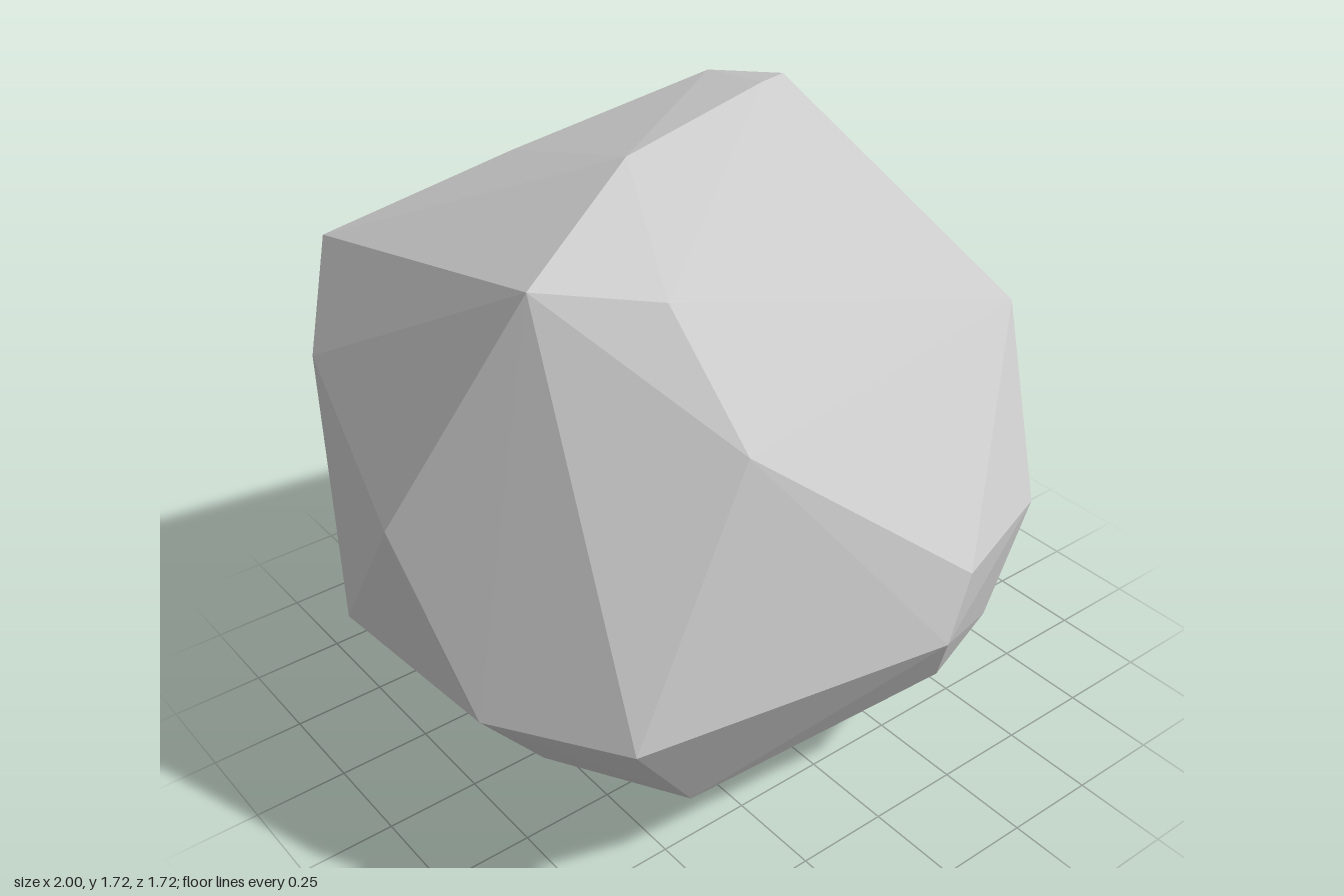
import * as THREE from 'three';
import { ConvexGeometry } from 'three/addons/geometries/ConvexGeometry.js';

// Corners of the faceted boulder, grouped by area
const crown = [
  [-0.73, 1.59, 0.36], [-0.485, 1.55, 0.515], [-0.29, 1.69, 0.11],
  [0.2, 1.72, 0.0], [0.28, 1.72, -0.015], [0.365, 1.66, -0.145],
  [0.29, 1.64, -0.32], [-0.195, 1.48, -0.515], [-0.635, 1.28, -0.755],
  [0.345, 1.34, -0.535],
];
const frontSide = [
  [-0.44, 1.26, 0.73], [0.165, 0.75, 0.84], [0.08, 0.59, 0.86],
  [-0.77, 0.64, 0.76], [0.585, 0.685, 0.655], [0.195, 0.36, 0.73],
  [0.46, 0.37, 0.64],
];
const flanks = [
  [1.0, 0.96, 0.1], [1.0, 0.93, 0.14], [0.805, 1.07, 0.335],
  [0.8, 0.515, 0.0], [0.605, 0.895, -0.61],
  [-1.0, 1.0, 0.15], [-0.96, 0.62, 0.43], [-0.815, 1.09, -0.515],
  [-0.89, 0.42, -0.335],
];
const backSide = [
  [0.18, 0.94, -0.86], [0.22, 0.67, -0.855], [0.52, 0.64, -0.68],
  [-0.485, 0.615, -0.76],
];
const base = [
  [-0.1, 0.0, 0.165], [0.52, 0.175, 0.33], [0.18, 0.09, -0.445],
  [-0.48, 0.22, 0.58], [-0.41, 0.03, -0.08], [-0.655, 0.18, 0.2],
  [-0.42, 0.14, -0.34],
];

export function createModel() {
  const group = new THREE.Group();
  group.name = 'rock';

  // Convex shell around all corners
  const corners = [...crown, ...frontSide, ...flanks, ...backSide, ...base]
    .map((p) => new THREE.Vector3(...p));
  const boulder = new THREE.Mesh(
    new ConvexGeometry(corners),
    new THREE.MeshStandardMaterial({ color: 0xcccccc, flatShading: true }),
  );
  boulder.name = 'boulder';
  group.add(boulder);
  return group;
}
